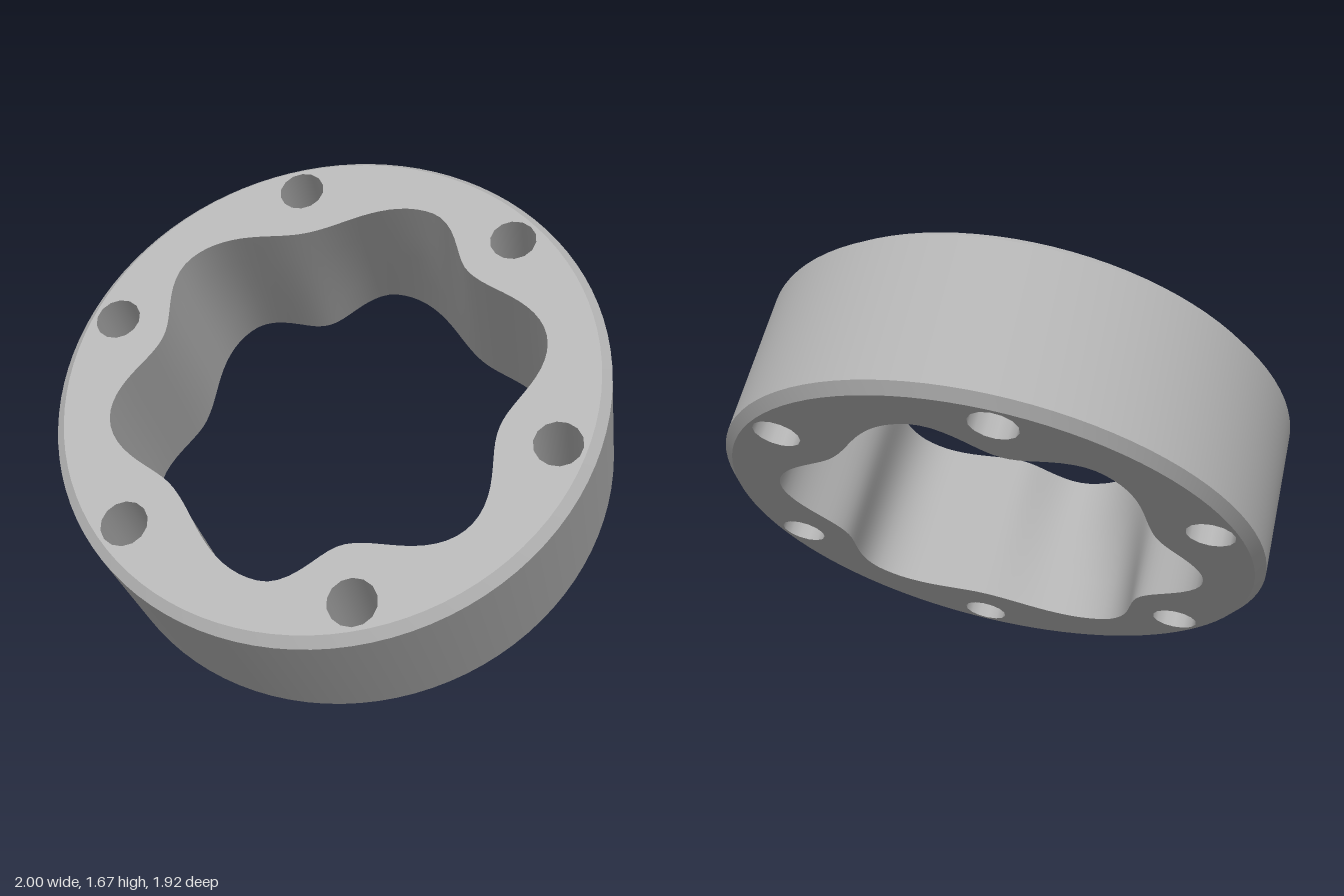
import * as THREE from 'three';

const HALF = 0.31, BEVEL = 0.035, TILT = 0.657, RAD = Math.PI / 180;
const BOLTS = [50, 110, 170, 230, 290, 350];

// Inner profile: angles alternate between hollow (wide) and ridge (narrow)
const TOP_ANGLES = [20, 50, 73, 110, 145, 172, 200, 230, 268, 290, 320, 350];
const BOTTOM_ANGLES = [20, 52, 90, 113, 136, 172, 200, 226, 251, 290, 324, 350];

function boreRadius(angles, deg) {
  const d = deg < angles[0] ? deg + 360 : deg;
  let i = angles.length - 1;
  while (angles[i] > d) i--;
  const end = i + 1 < angles.length ? angles[i + 1] : angles[0] + 360;
  const t = (d - angles[i]) / (end - angles[i]);
  const wave = Math.cos(Math.PI * t) * (i % 2 ? -1 : 1);
  return 0.725 + 0.067 * wave;
}

// Closed loop of [x, z] points, counterclockwise from above
function loop(count, radiusAt, cx = 0, cz = 0) {
  return Array.from({ length: count }, (_, i) => {
    const deg = (i * 360) / count, r = radiusAt(deg);
    return [cx + r * Math.cos(deg * RAD), cz - r * Math.sin(deg * RAD)];
  });
}

// Wall through loops from top to bottom
function wall(loops, heights, inward) {
  const n = loops[0].length, pos = [], idx = [];
  loops.forEach((l, k) => l.forEach(([x, z]) => pos.push(x, heights[k], z)));
  for (let k = 0; k < loops.length - 1; k++) {
    for (let i = 0; i < n; i++) {
      const a = k * n + i, a2 = k * n + (i + 1) % n, b = a + n, b2 = a2 + n;
      if (inward) idx.push(a, b2, b, a, a2, b2);
      else idx.push(a, b, b2, a, b2, a2);
    }
  }
  const g = new THREE.BufferGeometry();
  g.setAttribute('position', new THREE.Float32BufferAttribute(pos, 3));
  g.setIndex(idx);
  g.computeVertexNormals();
  return g;
}

// Flat face with the bore and bolt holes cut out
function face(outer, holes, side) {
  const points = l => l.map(([x, z]) => new THREE.Vector2(x, -z * side));
  const shape = new THREE.Shape(points(outer));
  holes.forEach(h => shape.holes.push(new THREE.Path(points(h))));
  const g = new THREE.ShapeGeometry(shape);
  g.rotateX(-side * Math.PI / 2);
  g.translate(0, side * HALF, 0);
  return g;
}

export function createModel() {
  const model = new THREE.Group();
  const grey = new THREE.MeshStandardMaterial({ color: 0xb4b4b4 });
  grey.name = 'grey';
  const ring = new THREE.Group();
  ring.name = 'tiltedRing';
  ring.position.y = 0.836;
  ring.rotation.x = TILT;
  model.add(ring);

  const add = (name, geometry) => {
    const mesh = new THREE.Mesh(geometry, grey);
    mesh.name = name;
    ring.add(mesh);
  };

  const full = loop(96, () => 1), rim = loop(96, () => 1 - BEVEL);
  const boreTop = loop(144, d => boreRadius(TOP_ANGLES, d));
  const boreBottom = loop(144, d => boreRadius(BOTTOM_ANGLES, d));
  const bolts = BOLTS.map(d =>
    loop(14, () => 0.085, 0.866 * Math.cos(d * RAD), -0.866 * Math.sin(d * RAD)));

  // Outer band and bevelled edges
  const edge = HALF - BEVEL;
  add('outerBand', wall([full, full], [edge, -edge], false));
  add('topBevel', wall([rim, full], [HALF, edge], false));
  add('bottomBevel', wall([full, rim], [-edge, -HALF], false));

  // Flat faces
  add('topFace', face(rim, [boreTop, ...bolts], 1));
  add('bottomFace', face(rim, [boreBottom, ...bolts], -1));

  // Lobed bore, blended from top to bottom profile
  const steps = [0, 0.25, 0.5, 0.75, 1];
  const blended = steps.map(t => boreTop.map(([x, z], i) =>
    [x + (boreBottom[i][0] - x) * t, z + (boreBottom[i][1] - z) * t]));
  add('lobedBore', wall(blended, steps.map(t => HALF - 2 * HALF * t), true));

  // Bolt holes
  bolts.forEach((b, i) => add('boltHole' + (i + 1), wall([b, b], [HALF, -HALF], true)));
  return model;
}
